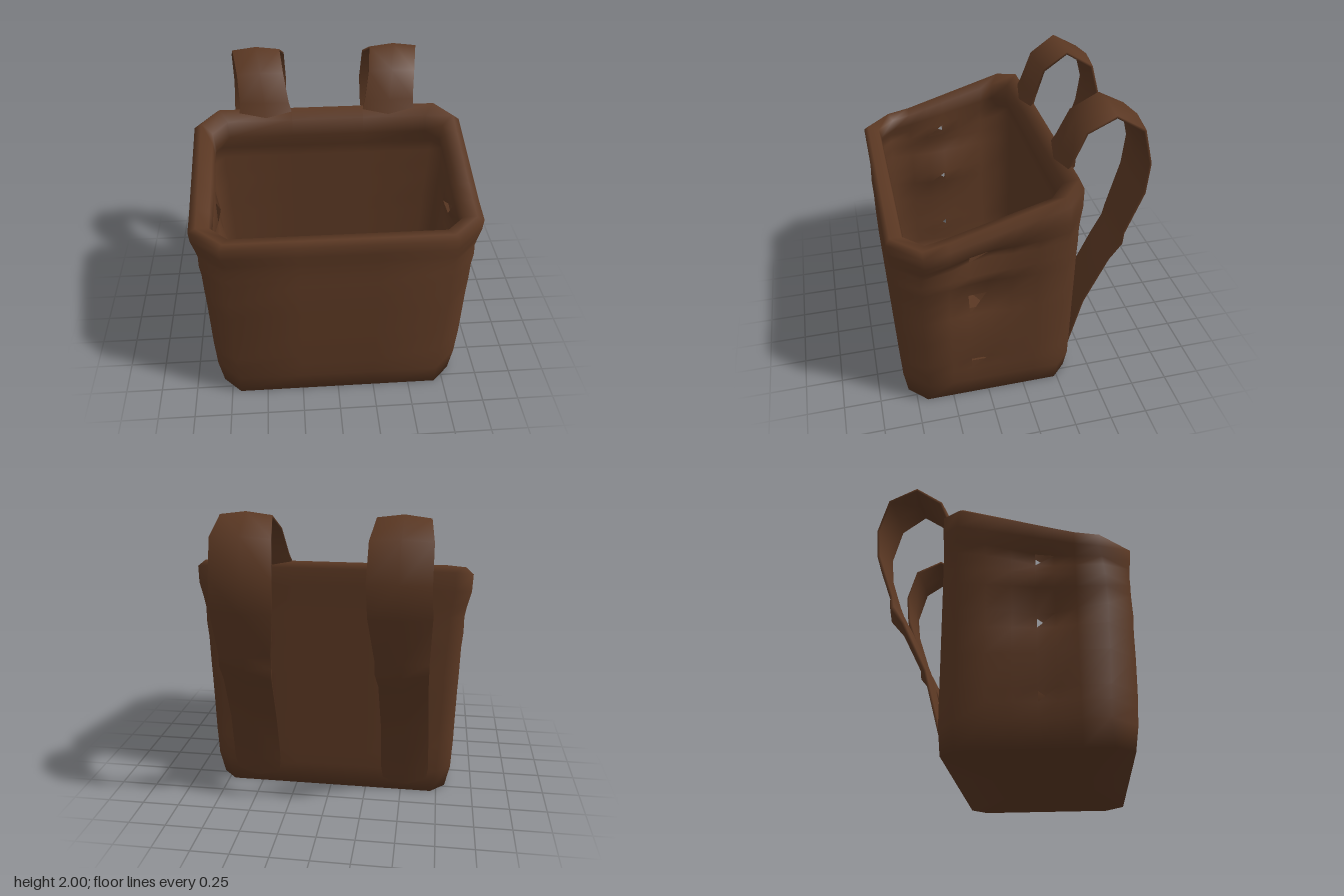
import * as THREE from 'three';

const leather = new THREE.MeshStandardMaterial({ color: 0x5b3823, side: THREE.DoubleSide });
leather.name = 'brown leather';

function meshFrom(name, positions, indices) {
  const g = new THREE.BufferGeometry();
  g.setAttribute('position', new THREE.Float32BufferAttribute(positions, 3));
  g.setIndex(indices);
  g.computeVertexNormals();
  const m = new THREE.Mesh(g, leather);
  m.name = name;
  return m;
}

// Height of the sloping rim, low at the front and high at the back
const rimHeight = z => 1.355 + Math.max(0, 0.6 - z) * 0.305;
const slopedY = (y, z) => (y <= 0.9 ? y : 0.9 + ((y - 0.9) / 0.455) * (rimHeight(z) - 0.9));
const bump = (z, y, z0, y0, rz, ry) => Math.exp(-(((z - z0) / rz) ** 2) - ((y - y0) / ry) ** 2);

// Hollows worn into both side walls
const dent = (z, y) => 0.1 * bump(z, y, 0.29, 0.87, 0.22, 0.13)
  + 0.08 * bump(z, y, 0.28, 1.16, 0.2, 0.05) + 0.03 * bump(z, y, 0.31, 0.31, 0.1, 0.07);

// One chamfered loop with extra points along the sides
function ring([y, hx, zf, zb, cf, cb], dented) {
  const front = [-(hx - cf), -0.25, 0.25, hx - cf].map(x => [x, zf]);
  const zs = [zf - cf, 0.5, 0.37, 0.25, 0.1, -0.06, zb + cb];
  const sideX = (z, i) => hx - (dented && i > 0 && i < 6 ? dent(z, y) : 0);
  const right = zs.map((z, i) => [sideX(z, i), z]);
  const back = [hx - cb, 0.25, -0.25, -(hx - cb)].map(x => [x, zb]);
  const left = right.map(([x, z]) => [-x, z]).reverse();
  return [...front, ...right, ...back, ...left].map(([x, z]) => [x, slopedY(y, z), z]);
}

function makeBag() {
  // y, half width, front z, back z, front chamfer, back chamfer
  const wall = [
    [0, 0.81, 0.8, -0.33, 0.12, 0.1],
    [0.16, 0.845, 0.825, -0.34, 0.16, 0.1],
    [0.27, 0.85, 0.83, -0.34, 0.16, 0.1],
    [0.36, 0.855, 0.835, -0.34, 0.16, 0.1],
    [0.58, 0.86, 0.84, -0.34, 0.16, 0.1],
    [0.75, 0.865, 0.84, -0.34, 0.16, 0.1],
    [0.87, 0.87, 0.845, -0.34, 0.16, 0.1],
    [1.0, 0.875, 0.84, -0.34, 0.16, 0.1],
    [1.07, 0.885, 0.84, -0.34, 0.16, 0.1],
    [1.14, 0.885, 0.84, -0.34, 0.17, 0.1],
    [1.19, 0.9, 0.845, -0.34, 0.18, 0.1]
  ];
  // Rolled rim with an inward lip
  const rim = [
    [1.25, 0.925, 0.85, -0.345, 0.2, 0.11],
    [1.325, 0.93, 0.855, -0.347, 0.2, 0.12],
    [1.355, 0.88, 0.825, -0.33, 0.17, 0.12],
    [1.335, 0.8, 0.75, -0.25, 0.12, 0.1],
    [1.265, 0.785, 0.735, -0.235, 0.11, 0.09]
  ];
  // Lining, a parallel wall set back under the lip
  const lining = wall.slice(1).reverse().map(([y, hx]) => [y, hx - 0.06, 0.775, -0.28, 0.12, 0.08]);
  lining.push([0.06, 0.77, 0.75, -0.27, 0.12, 0.08]);

  const rings = [
    ...wall.map(r => ring(r, true)),
    ...rim.map(r => ring(r, false)),
    ...lining.map(r => ring(r, true))
  ];
  const levels = [...wall, ...rim, ...lining].map(r => r[0]);
  const n = rings[0].length, pos = rings.flat(2), idx = [];
  const holeLevels = [0.27, 0.75, 1.14];
  for (let j = 0; j < rings.length - 1; j++) {
    const low = Math.min(levels[j], levels[j + 1]);
    for (let i = 0; i < n; i++) {
      const k = (i + 1) % n;
      const a = j * n + i, b = j * n + k, c = b + n, d = a + n;
      idx.push(a, b, c);
      // Small torn openings in the side walls
      const torn = holeLevels.includes(low) && (i === 6 || i === 18);
      if (!torn) idx.push(a, c, d);
    }
  }
  // Underside and inner floor
  const last = (rings.length - 1) * n, under = rings.length * n;
  pos.push(0, 0, 0.24, 0, 0.05, 0.24);
  for (let i = 0; i < n; i++) {
    const k = (i + 1) % n;
    idx.push(under, k, i, under + 1, last + i, last + k);
  }
  return meshFrom('bag', pos, idx);
}

// Shoulder strap swept along a curve behind the bag
function makeStrap(side) {
  // z, y, inner x, outer x, thickness
  const path = [
    [-0.3, 1.58, 0.24, 0.62, 0.07],
    [-0.34, 1.68, 0.27, 0.61, 0.06],
    [-0.41, 1.86, 0.3, 0.62, 0.06],
    [-0.58, 1.965, 0.32, 0.65, 0.06],
    [-0.76, 1.86, 0.29, 0.67, 0.06],
    [-0.825, 1.62, 0.28, 0.67, 0.05],
    [-0.805, 1.41, 0.29, 0.68, 0.06],
    [-0.7, 1.1, 0.33, 0.67, 0.05],
    [-0.69, 1.02, 0.33, 0.67, 0.09],
    [-0.61, 0.9, 0.35, 0.67, 0.06],
    [-0.45, 0.56, 0.36, 0.68, 0.05],
    [-0.355, 0.2, 0.36, 0.69, 0.05],
    [-0.32, 0.05, 0.38, 0.67, 0.03]
  ];
  const pos = [], idx = [];
  path.forEach(([z, y, xi, xo, t], j) => {
    const p = path[Math.max(j - 1, 0)], q = path[Math.min(j + 1, path.length - 1)];
    const len = Math.hypot(q[0] - p[0], q[1] - p[1]);
    const nz = (-(q[1] - p[1]) / len) * t / 2, ny = ((q[0] - p[0]) / len) * t / 2;
    const mid = (xi + xo) / 2, e = 0.3;
    // Six-sided section with thin edges
    [[xi, e], [mid, 1], [xo, e], [xo, -e], [mid, -1], [xi, -e]]
      .forEach(([x, s]) => pos.push(side * x, y + ny * s, z + nz * s));
    if (j === 0) return;
    for (let i = 0; i < 6; i++) {
      const k = (i + 1) % 6, a = (j - 1) * 6 + i, b = (j - 1) * 6 + k;
      if (side > 0) idx.push(a, b, b + 6, a, b + 6, a + 6);
      else idx.push(a, b + 6, b, a, a + 6, b + 6);
    }
  });
  return meshFrom(side > 0 ? 'leftStrap' : 'rightStrap', pos, idx);
}

export function createModel() {
  const model = new THREE.Group();
  model.name = 'open backpack basket';
  model.add(makeBag(), makeStrap(1), makeStrap(-1));
  return model;
}
